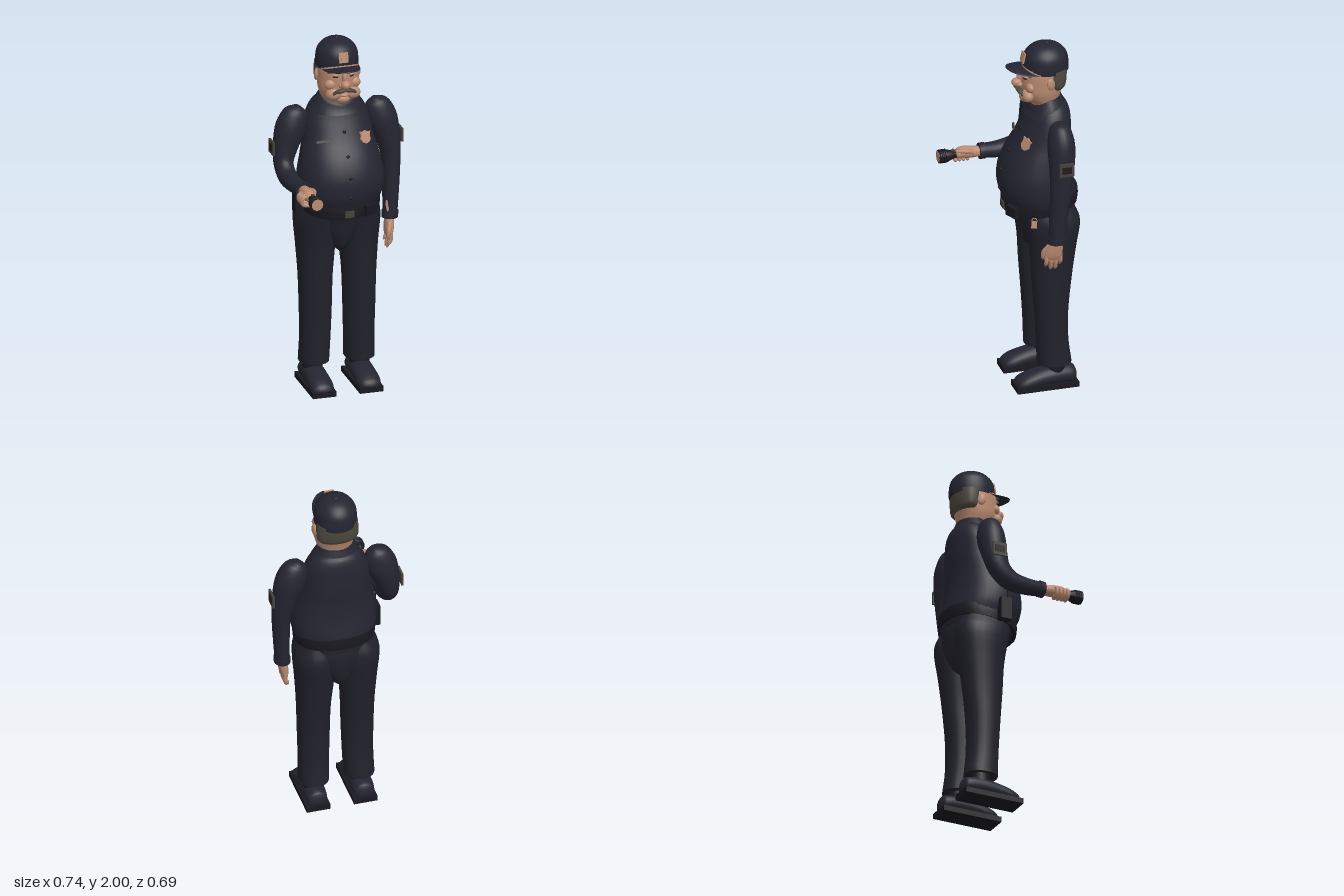
import * as THREE from 'three';
import { toCreasedNormals } from 'three/addons/utils/BufferGeometryUtils.js';

const V = (x, y, z) => new THREE.Vector3(x, y, z);
const mat = (name, color) => Object.assign(new THREE.MeshStandardMaterial({ color }), { name });

// Lofted tube through sections [x, y, z, radiusSide, radiusOther]; a fixed axis keeps the sections parallel
function loft(rows, { axis = null, seg = 24, steps = 4, pow = 2, bend = null } = {}) {
  const path = new THREE.CatmullRomCurve3(rows.map(r => V(r[0], r[1], r[2])), false, 'catmullrom', 0.5);
  const size = new THREE.CatmullRomCurve3(rows.map(r => V(r[3], r[4], 0)), false, 'catmullrom', 0.5);
  const n = (rows.length - 1) * steps, pos = [], idx = [];
  const round = a => Math.sign(a) * Math.abs(a) ** (2 / pow);
  const add = p => { if (bend) bend(p); pos.push(p.x, p.y, p.z); };
  for (let i = 0; i <= n; i++) {
    const c = path.getPoint(i / n), s = size.getPoint(i / n);
    const t = axis || path.getTangent(i / n);
    const u = V(1, 0, 0).addScaledVector(t, -t.x).normalize(), v = t.clone().cross(u);
    for (let j = 0; j < seg; j++) {
      const a = j / seg * Math.PI * 2;
      add(c.clone().addScaledVector(u, s.x * round(Math.cos(a))).addScaledVector(v, s.y * round(Math.sin(a))));
    }
  }
  for (let i = 0; i < n; i++) for (let j = 0; j < seg; j++) {
    const k = (j + 1) % seg, a = i * seg + j, b = i * seg + k;
    idx.push(a, b, a + seg, b, b + seg, a + seg);
  }
  const base = pos.length / 3;
  add(path.getPoint(0)); add(path.getPoint(1));
  for (let j = 0; j < seg; j++) {
    const k = (j + 1) % seg;
    idx.push(base, k, j, base + 1, n * seg + j, n * seg + k);
  }
  const g = new THREE.BufferGeometry();
  g.setAttribute('position', new THREE.Float32BufferAttribute(pos, 3));
  g.setIndex(idx);
  return toCreasedNormals(g, 0.9);
}
const UP = V(0, 1, 0), FRONT = V(0, 0, 1);
// Upright loft from rows [y, xMin, xMax, zFront, zBack]
const stack = (rows, o = {}) => loft(rows.map(([y, a, b, f, k]) =>
  [(a + b) / 2, y, (f + k) / 2, Math.abs(b - a) / 2, (f - k) / 2]), { axis: UP, ...o });
// Symmetric rows [y, halfWidth, zFront, zBack]
const body = (rows, o) => stack(rows.map(([y, r, f, k]) => [y, -r, r, f, k]), o);

export function createModel() {
  const model = new THREE.Group();
  model.name = 'officer';
  const shirt = mat('shirt navy', 0x252532), trousers = mat('trouser navy', 0x21212b);
  const leather = mat('black leather', 0x191920), skin = mat('skin', 0xb98a70);
  const hair = mat('grey hair', 0x4c483f), badge = mat('badge copper', 0xb98c70);
  const metal = mat('dull metal', 0x46433d), dark = mat('eye dark', 0x221c1a);
  const mesh = (name, g, m, p = [0, 0, 0], r = [0, 0, 0], s = [1, 1, 1]) => {
    const o = new THREE.Mesh(g, m);
    o.name = name;
    o.position.set(...p); o.rotation.set(...r); o.scale.set(...s);
    model.add(o);
    return o;
  };
  const box = (name, size, m, p, r) => mesh(name, new THREE.BoxGeometry(...size), m, p, r);
  const ball = (name, m, p, s, r) => mesh(name, new THREE.SphereGeometry(1, 20, 14), m, p, r, s);

  // Shirt and collar
  mesh('shirt', body([[1.02, .2, .025, -.32], [1.09, .218, .055, -.335], [1.16, .236, .08, -.33],
    [1.25, .235, .08, -.312], [1.35, .215, .045, -.305], [1.45, .192, -.015, -.31], [1.55, .175, -.065, -.307],
    [1.61, .15, -.09, -.3], [1.65, .115, -.115, -.28], [1.665, .07, -.13, -.24]], { seg: 36, pow: 2.2 }), shirt);
  mesh('collar', body([[1.59, .15, -.06, -.295], [1.64, .13, -.075, -.28], [1.69, .1, -.085, -.262]], {
    bend: p => { if (p.z > -.17) p.y -= (p.z + .17) * .6 * Math.max(0, (p.y - 1.58) / .11); }
  }), shirt);
  for (const [y, z] of [[1.5, -.035], [1.38, .032], [1.27, .077], [1.16, .081]])
    ball('shirtButton', leather, [0, y, z], [.01, .01, .006]);

  // Trousers
  mesh('trouserSeat', body([[.785, .015, -.1, -.25], [.82, .055, -.06, -.295], [.9, .12, -.035, -.325],
    [1, .195, -.015, -.334], [1.07, .208, .03, -.325]]), trousers);
  for (const s of [-1, 1]) {
    mesh('trouserLeg', stack([[.14, .045, .21, -.095, -.282], [.28, .04, .207, -.09, -.265],
      [.45, .035, .21, -.08, -.265], [.65, .03, .215, -.065, -.285], [.82, .015, .226, -.055, -.308],
      [.98, .012, .236, -.03, -.33], [1.07, .03, .208, -.01, -.3]].map(([y, a, b, f, k]) => [y, s * a, s * b, f, k]),
      { pow: 2.2 }), trousers);
    // Socks and shoes
    mesh('sock', new THREE.CylinderGeometry(.052, .056, .1, 20), leather, [s * .132, .115, -.195]);
    mesh('shoeUpper', loft([[.132, .055, -.305, .03, .03], [.132, .062, -.285, .055, .05], [.132, .067, -.2, .062, .055],
      [.132, .06, -.11, .064, .052], [.132, .045, -.03, .066, .045], [.132, .035, .015, .055, .032], [.132, .03, .032, .025, .015]]
      .map(([x, ...r]) => [s * x, ...r]), { axis: FRONT, bend: p => { p.y = Math.max(p.y, .012); } }), shirt);
    box('shoeSole', [.132, .03, .345], leather, [s * .132, .015, -.137]);
  }

  // Belt, rising toward the back, and its gear
  mesh('belt', body([[1.055, .219, .056, -.342], [1.088, .222, .06, -.346], [1.12, .222, .058, -.344]],
    { seg: 36, pow: 2.2, steps: 2, bend: p => { p.y += (-.15 - p.z) * .14; } }), leather);
  box('beltBuckle', [.05, .036, .012], metal, [0, 1.058, .062]);
  box('beltPouch', [.075, .058, .04], leather, [.12, 1.068, .04], [0, .4, 0]);
  box('radio', [.048, .125, .065], leather, [-.242, 1.105, -.1]);
  mesh('radioAerial', new THREE.CylinderGeometry(.005, .005, .07, 8), leather, [-.25, 1.19, -.085]);
  mesh('keyRing', new THREE.TorusGeometry(.014, .003, 6, 16), badge, [.24, 1.055, -.045], [0, 1, 0]);
  box('key', [.006, .04, .03], badge, [.243, 1.032, -.042], [0, -.5, .2]);

  // Arms, sharing one shoulder
  const shoulder = [[.215, 1.617, -.19, .018, .025], [.225, 1.585, -.19, .066, .055], [.255, 1.5, -.19, .085, .074],
    [.285, 1.4, -.185, .07, .07]];
  mesh('leftSleeve', loft([...shoulder, [.303, 1.27, -.175, .052, .06], [.3, 1.12, -.165, .046, .053],
    [.292, .95, -.155, .04, .046]]), shirt);
  mesh('rightSleeve', loft([...shoulder.map(([x, ...r]) => [-x, ...r]), [-.303, 1.31, -.165, .054, .063],
    [-.3, 1.253, -.1, .051, .056], [-.289, 1.242, 0, .047, .046], [-.276, 1.25, .1, .039, .04]]), shirt);
  mesh('leftCuff', loft([[.293, .965, -.156, .045, .05], [.291, .932, -.154, .045, .049]], { axis: V(0, -1, 0) }), shirt);
  mesh('rightCuff', loft([[-.277, 1.25, .083, .046, .045], [-.274, 1.25, .114, .045, .044]], { axis: FRONT }), shirt);
  for (const s of [-1, 1]) {
    box('sleevePatch', [.012, .075, .08], metal, [s * .361, 1.394, -.19]);
    box('sleevePatchCentre', [.006, .04, .055], dark, [s * .3655, 1.394, -.19]);
  }

  // Left hand hanging
  mesh('leftPalm', loft([[.288, .945, -.153, .026, .032], [.285, .91, -.148, .026, .042], [.28, .86, -.14, .024, .05],
    [.276, .832, -.138, .017, .045]]), skin);
  for (let i = 0; i < 4; i++) {
    const z = -.1 - i * .026, tip = [.785, .765, .765, .79][i];
    mesh('leftFinger', loft([[.279, .86, z, .013, .013], [.281, .82, z, .012, .012], [.27, tip + .015, z, .01, .011],
      [.264, tip, z, .004, .005]], { seg: 10 }), skin);
  }
  mesh('leftThumb', loft([[.28, .91, -.115, .014, .014], [.268, .875, -.09, .014, .014], [.262, .84, -.085, .01, .01],
    [.26, .828, -.085, .004, .004]], { seg: 10 }), skin);

  // Right hand gripping
  mesh('rightPalm', loft([[-.274, 1.25, .105, .028, .026], [-.275, 1.253, .15, .034, .032], [-.275, 1.257, .21, .036, .032],
    [-.27, 1.255, .24, .027, .026], [-.268, 1.255, .25, .01, .01]], { axis: FRONT }), skin);
  for (let i = 0; i < 4; i++) {
    const z = .175 + i * .0225;
    const curve = new THREE.CatmullRomCurve3([V(-.295, 1.268, z), V(-.322, 1.25, z), V(-.318, 1.22, z), V(-.28, 1.212, z)]);
    mesh('rightFinger', new THREE.TubeGeometry(curve, 10, .0105, 10), skin);
    ball('fingerTip', skin, [-.28, 1.212, z], [.0105, .0105, .0105]);
  }
  mesh('rightThumb', loft([[-.25, 1.262, .15, .014, .014], [-.244, 1.275, .2, .012, .013], [-.252, 1.276, .24, .009, .009]],
    { seg: 10 }), skin);

  // Flashlight
  const torch = [[0, -.13], [.02, -.13], [.02, .01], [.023, .02], [.034, .05], [.034, .055]];
  for (let i = 0; i < 4; i++) torch.push([.038, .057 + i * .01], [.038, .063 + i * .01], [.034, .064 + i * .01]);
  torch.push([.036, .1], [0, .1]);
  mesh('flashlight', toCreasedNormals(new THREE.LatheGeometry(torch.map(p => new THREE.Vector2(...p)), 24), .6),
    leather, [-.268, 1.252, .244], [Math.PI / 2, 0, 0]);
  mesh('flashlightLens', new THREE.CylinderGeometry(.032, .032, .004, 24), badge, [-.268, 1.252, .344], [Math.PI / 2, 0, 0]);
  box('flashlightSwitch', [.014, .01, .022], metal, [-.268, 1.276, .262]);

  // Head
  mesh('head', body([[1.6, .085, -.12, -.255], [1.66, .09, -.085, -.252], [1.69, .1, -.06, -.255], [1.73, .111, -.042, -.265],
    [1.78, .113, -.038, -.28], [1.85, .111, -.042, -.287], [1.92, .09, -.07, -.26]], { seg: 32 }), skin);
  mesh('backHair', body([[1.745, .1, -.165, -.272], [1.765, .114, -.155, -.284], [1.81, .117, -.14, -.29],
    [1.86, .114, -.13, -.292]]), hair);
  ball('nose', skin, [0, 1.778, -.017], [.026, .024, .03]);
  ball('noseBridge', skin, [0, 1.81, -.036], [.014, .035, .02]);
  ball('chin', skin, [0, 1.685, -.062], [.042, .027, .03]);
  ball('lowerLip', skin, [0, 1.712, -.04], [.025, .01, .016]);
  for (const s of [-1, 1]) {
    ball('ear', skin, [s * .116, 1.795, -.175], [.012, .035, .024], [.15, s * .3, 0]);
    ball('jowl', skin, [s * .052, 1.715, -.062], [.045, .036, .035]);
    ball('cheek', skin, [s * .065, 1.768, -.072], [.036, .03, .025]);
    ball('nostril', skin, [s * .02, 1.772, -.028], [.014, .014, .016]);
    ball('eye', dark, [s * .045, 1.817, -.051], [.015, .007, .008], [0, s * .4, 0]);
    ball('eyelid', skin, [s * .045, 1.826, -.052], [.019, .007, .012], [0, s * .4, 0]);
    mesh('eyebrow', loft([[s * .02, 1.842, -.037, .004, .005], [s * .05, 1.85, -.045, .008, .007],
      [s * .083, 1.835, -.072, .003, .004]].sort((a, b) => a[0] - b[0]), { axis: V(1, 0, 0).applyAxisAngle(UP, .001), seg: 10 }), hair);
    ball('moustache', hair, [s * .028, 1.741, -.024], [.034, .012, .016], [0, s * .35, s * -.3]);
    ball('moustacheTip', hair, [s * .056, 1.728, -.036], [.014, .01, .012], [0, 0, s * -.7]);
  }

  // Cap
  mesh('capCrown', body([[1.842, 1], [1.88, 1], [1.93, .93], [1.967, .7], [1.987, .4], [1.993, .05]]
    .map(([y, k]) => [y, .116 * k, -.177 + .126 * k, -.177 - .126 * k]), { seg: 32 }), shirt);
  ball('capButton', shirt, [0, 1.992, -.185], [.011, .007, .011]);
  mesh('capPeak', loft([[0, 1.862, -.12, .105, .006], [0, 1.864, -.06, .096, .006], [0, 1.867, -.01, .078, .006],
    [0, 1.87, .025, .05, .005], [0, 1.871, .04, .022, .004], [0, 1.871, .044, .005, .002]],
    { axis: FRONT, seg: 32, bend: p => { p.y -= p.x * p.x * 1.7; } }), shirt);
  box('capBadge', [.052, .056, .009], badge, [0, 1.922, -.052], [-.22, 0, 0]);
  box('capBadgeCentre', [.03, .034, .006], skin, [0, 1.923, -.048], [-.22, 0, 0]);

  // Chest badge and name bar
  const crest = new THREE.Shape([[0, -.037], [.02, -.03], [.033, -.012], [.028, .008], [.035, .03], [.018, .027], [0, .036],
    [-.018, .027], [-.035, .03], [-.028, .008], [-.033, -.012], [-.02, -.03]].map(p => new THREE.Vector2(...p)));
  mesh('chestBadge', new THREE.ExtrudeGeometry(crest, { depth: .009, bevelEnabled: false }), badge,
    [.115, 1.456, -.038], [-.42, .36, 0]);
  box('nameBar', [.084, .014, .009], metal, [-.115, 1.456, -.033], [-.4, -.28, 0]);
  return model;
}
